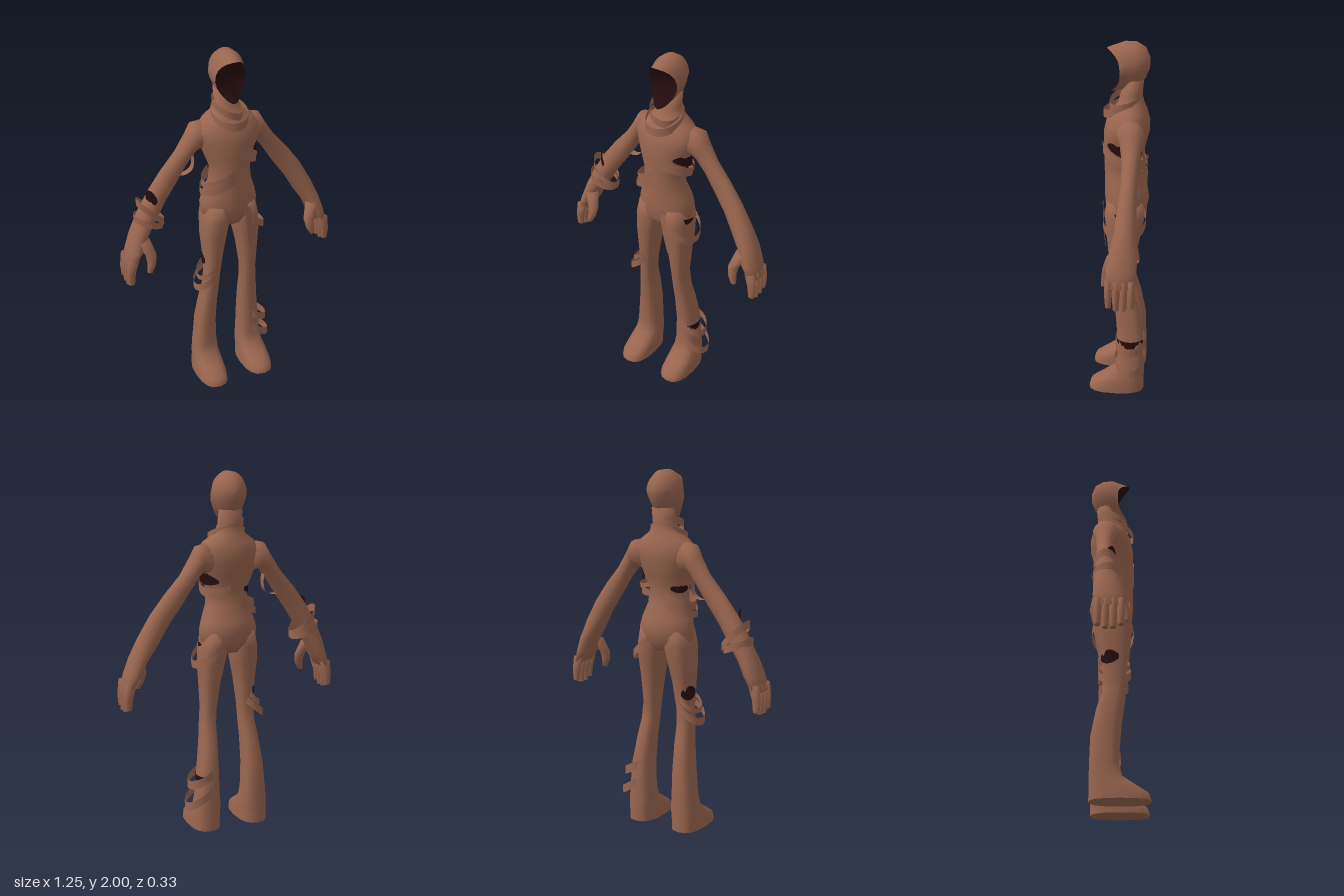
import * as THREE from 'three';

const cloth = new THREE.MeshStandardMaterial({ color: 0x9a664f, side: THREE.DoubleSide });
cloth.name = 'brown cloth';
const dark = new THREE.MeshStandardMaterial({ color: 0x260c0e, side: THREE.DoubleSide });
dark.name = 'dark hollow';

const V = (x, y, z) => new THREE.Vector3(x, y, z);

function buildMesh(name, points, index, material) {
  const g = new THREE.BufferGeometry().setFromPoints(points);
  g.setIndex(index);
  g.computeVertexNormals();
  const m = new THREE.Mesh(g, material);
  m.name = name;
  return m;
}

// Skin through closed rings of points, capped at both ends; side -1 mirrors in x.
function loft(name, rings, side = 1) {
  const n = rings[0].length;
  if (side < 0) rings = rings.map(r => r.map(p => V(-p.x, p.y, p.z)).reverse());
  const pts = rings.flat(), idx = [];
  for (let i = 0; i < rings.length - 1; i++) {
    for (let j = 0; j < n; j++) {
      const a = i * n + j, b = i * n + (j + 1) % n;
      idx.push(a, b, b + n, a, b + n, a + n);
    }
  }
  [0, rings.length - 1].forEach((r, end) => {
    const c = rings[r].reduce((s, p) => s.add(p), V(0, 0, 0)).divideScalar(n);
    const k = pts.push(c) - 1;
    for (let j = 0; j < n; j++) {
      const a = r * n + j, b = r * n + (j + 1) % n;
      idx.push(...(end ? [k, a, b] : [k, b, a]));
    }
  });
  return buildMesh(name, pts, idx, cloth);
}

// Ring about centre c with half axes u and v; power below 1 squares it off.
function ring(c, u, v, n = 16, power = 1) {
  const bend = t => Math.sign(t) * Math.abs(t) ** power;
  return Array.from({ length: n }, (_, j) => {
    const a = (j / n) * Math.PI * 2;
    return c.clone().addScaledVector(u, bend(Math.cos(a))).addScaledVector(v, bend(Math.sin(a)));
  });
}

// Flat strip along a path; width(t) gives the vector to each edge.
function ribbon(name, path, width, material = cloth) {
  const pts = [], idx = [];
  path.forEach((p, i) => {
    const w = width(i / (path.length - 1));
    pts.push(p.clone().add(w), p.clone().sub(w));
    if (i) idx.push(2 * i - 2, 2 * i - 1, 2 * i, 2 * i, 2 * i - 1, 2 * i + 1);
  });
  return buildMesh(name, pts, idx, material);
}

// Tilted wrap round an upright ellipse; tears taper at both ends.
function wrap(name, [x, y, z], rx, rz, sx, sz, w, a0 = 0, a1 = Math.PI * 2, tear = false) {
  const path = Array.from({ length: 25 }, (_, i) => {
    const a = a0 + (a1 - a0) * i / 24, c = Math.cos(a), s = Math.sin(a);
    return V(x + rx * c, y + sx * c + sz * s, z + rz * s);
  });
  const jag = t => tear ? 0.15 + 0.85 * Math.sin(Math.PI * t) ** 0.7 : 1;
  return ribbon(name, path, t => V(0, w / 2 * jag(t), 0), tear ? dark : cloth);
}

// Limb ring from its outer and inner edge points and its depth.
const limbRing = ([ox, oy, ix, iy, z, rz], n = 14) =>
  ring(V((ox + ix) / 2, (oy + iy) / 2, z), V((ox - ix) / 2, (oy - iy) / 2, 0), V(0, 0, rz), n);

function createArm(side) {
  const arm = new THREE.Group();
  arm.name = side > 0 ? 'leftArm' : 'rightArm';
  arm.add(loft('sleeve', [
    [0.12, 1.63, 0.11, 1.46, -0.06, 0.07], [0.195, 1.615, 0.165, 1.47, -0.072, 0.076],
    [0.228, 1.56, 0.185, 1.45, -0.075, 0.06], [0.29, 1.465, 0.235, 1.38, -0.078, 0.047],
    [0.38, 1.365, 0.29, 1.295, -0.075, 0.045], [0.46, 1.26, 0.36, 1.2, -0.07, 0.05],
    [0.53, 1.14, 0.42, 1.1, -0.065, 0.06], [0.575, 1.04, 0.48, 1.015, -0.058, 0.074],
    [0.605, 0.95, 0.51, 0.95, -0.05, 0.082], [0.622, 0.87, 0.56, 0.88, -0.047, 0.078],
  ].map(r => limbRing(r)), side));
  for (let i = 0; i < 4; i++) {
    const z = 0.012 - i * 0.039, tip = i % 3 ? 0.75 : 0.765;
    const end = limbRing([0.622, tip, 0.584, tip, z, 0.015], 8);
    arm.add(loft('finger', [
      limbRing([0.618, 0.91, 0.55, 0.91, z, 0.02], 8),
      limbRing([0.627, 0.83, 0.576, 0.83, z, 0.02], 8), end, end], side));
  }
  arm.add(loft('thumb', [
    [0.56, 1.01, 0.48, 1.015, -0.01, 0.035], [0.52, 0.935, 0.455, 0.925, 0.022, 0.028],
    [0.514, 0.89, 0.465, 0.875, 0.034, 0.022], [0.52, 0.838, 0.49, 0.832, 0.042, 0.014],
  ].map(r => limbRing(r, 8)), side));
  return arm;
}

// Trouser leg and shoe in one skin: [y, inner x, outer x, front z, back z]
function createLeg(side) {
  const rings = [
    [1.14, 0.015, 0.145, 0.065, -0.14], [1.05, 0.012, 0.163, 0.074, -0.145],
    [0.95, 0.03, 0.167, 0.065, -0.125], [0.85, 0.05, 0.16, 0.055, -0.105],
    [0.7, 0.07, 0.153, 0.04, -0.085], [0.6, 0.075, 0.163, 0.03, -0.09],
    [0.5, 0.078, 0.175, 0.015, -0.12], [0.35, 0.08, 0.195, 0.003, -0.148],
    [0.2, 0.075, 0.21, 0.002, -0.152], [0.13, 0.068, 0.218, 0.02, -0.153],
    [0.085, 0.065, 0.225, 0.085, -0.153], [0.04, 0.062, 0.231, 0.155, -0.153],
    [0, 0.06, 0.233, 0.165, -0.153], [0, 0.06, 0.233, 0.165, -0.153],
  ].map(([y, xi, xo, zf, zb]) =>
    ring(V((xi + xo) / 2, y, (zf + zb) / 2), V((xo - xi) / 2, 0, 0), V(0, 0, (zf - zb) / 2), 16, 0.78));
  return loft(side > 0 ? 'leftLeg' : 'rightLeg', rings, side);
}

// Hood: rings from the open rim to the back of the skull, plus a hollow face.
function createHood() {
  const hood = new THREE.Group();
  hood.name = 'hood';
  const n = 24;
  const oval = (cy, hh, hw, z) => Array.from({ length: n }, (_, j) => {
    const a = (j / n) * Math.PI * 2, s = Math.sin(a);
    const x = -hw * Math.cos(a) * (1 - 0.25 * Math.max(0, -s));
    return V(x, cy + hh * s, z(s));
  });
  const rim = oval(1.85, 0.116, 0.086, s => -0.006 + (s > 0 ? 0.071 : 0.056) * Math.abs(s) ** 3);
  const flat = z => () => z;
  const rings = [rim, oval(1.872, 0.128, 0.091, flat(-0.03)), oval(1.876, 0.122, 0.089, flat(-0.09)),
    oval(1.888, 0.082, 0.066, flat(-0.138)), oval(1.89, 0.03, 0.025, flat(-0.16))];
  const shell = loft('hoodShell', rings);
  // the shell stays open at the rim
  const keep = Array.from(shell.geometry.index.array);
  keep.splice((rings.length - 1) * n * 6, n * 3);
  shell.geometry.setIndex(keep);
  shell.geometry.computeVertexNormals();
  const idx = [];
  for (let j = 0; j < n; j++) idx.push(n, (j + 1) % n, j);
  hood.add(shell, buildMesh('hollowFace', [...rim, V(0, 1.86, -0.04)], idx, dark));
  return hood;
}

export function createModel() {
  const model = new THREE.Group();
  model.name = 'raggedFigure';

  // Torso and neck: [y, half width, front z, back z]
  model.add(loft('torso', [
    [1.02, 0.11, 0.045, -0.11], [1.07, 0.157, 0.074, -0.15], [1.14, 0.165, 0.08, -0.165],
    [1.2, 0.15, 0.08, -0.155], [1.28, 0.12, 0.08, -0.125], [1.36, 0.114, 0.08, -0.118],
    [1.43, 0.14, 0.083, -0.14], [1.52, 0.172, 0.083, -0.163], [1.58, 0.182, 0.07, -0.165],
    [1.63, 0.145, 0.045, -0.152], [1.67, 0.088, 0.01, -0.135], [1.72, 0.066, -0.005, -0.123],
    [1.8, 0.066, -0.03, -0.13],
  ].map(([y, hw, zf, zb]) =>
    ring(V(0, y, (zf + zb) / 2), V(0, 0, (zf - zb) / 2), V(hw, 0, 0), 20))));
  model.add(createHood());
  for (const side of [1, -1]) model.add(createArm(side), createLeg(side));

  // Loose cloth wraps
  const PI = Math.PI;
  model.add(
    wrap('neckWrap', [0, 1.657, -0.02], 0.1, 0.105, 0, -0.04, 0.045),
    wrap('neckWrap', [-0.005, 1.695, -0.035], 0.083, 0.088, -0.03, -0.03, 0.04),
    wrap('waistWrap', [-0.045, 1.33, -0.02], 0.115, 0.106, 0.055, 0, 0.045, PI * 0.35, PI * 1.5),
    wrap('waistWrap', [-0.045, 1.29, -0.02], 0.125, 0.107, 0.06, 0, 0.04, PI * 0.4, PI * 1.5),
    wrap('chestWrap', [0.01, 1.39, -0.03], 0.145, 0.118, -0.02, 0.04, 0.04, -1.3, 1.4),
    wrap('chestWrap', [0.01, 1.44, -0.035], 0.15, 0.127, -0.05, 0.04, 0.025, -1.4, 1.3),
    wrap('hipWrap', [0.105, 1.04, -0.035], 0.1, 0.118, -0.08, 0, 0.045),
    wrap('thighWrap', [-0.145, 0.69, -0.02], 0.075, 0.085, 0.06, 0, 0.045),
    wrap('thighWrap', [-0.14, 0.74, -0.02], 0.06, 0.08, 0.05, 0, 0.03),
    wrap('shinWrap', [0.17, 0.32, -0.073], 0.084, 0.083, -0.045, 0, 0.05),
    wrap('shinWrap', [0.18, 0.21, -0.075], 0.093, 0.084, -0.06, 0, 0.05),
    wrap('forearmWrap', [-0.45, 1.15, -0.066], 0.075, 0.066, -0.07, 0, 0.045),
    wrap('forearmWrap', [-0.465, 1.1, -0.062], 0.08, 0.072, -0.03, 0, 0.04),
  );
  const armLoop = new THREE.CatmullRomCurve3([V(-0.31, 1.34, -0.08), V(-0.25, 1.325, -0.08),
    V(-0.2, 1.35, -0.08), V(-0.19, 1.41, -0.08), V(-0.2, 1.47, -0.08)]).getPoints(12);
  model.add(
    ribbon('armLoop', armLoop, () => V(0, 0, 0.02)),
    ribbon('hangingStrip', [V(0.06, 1.13, 0.086), V(0.08, 1, 0.084), V(0.1, 0.87, 0.068)], () => V(0.018, 0.004, 0)),
  );

  // Dark tears in the cloth
  model.add(
    wrap('chestTear', [0, 1.445, -0.03], 0.152, 0.12, 0, 0.03, 0.07, -0.95, 0.8, true),
    wrap('waistTear', [0, 1.37, -0.02], 0.122, 0.105, 0, 0, 0.05, PI, PI + 1, true),
    wrap('hipTear', [0, 1.07, -0.038], 0.169, 0.12, 0, 0, 0.035, -0.2, 1.1, true),
    wrap('thighTear', [-0.108, 0.79, -0.022], 0.055, 0.08, 0, 0, 0.08, PI - 0.3, PI + 1.2, true),
    wrap('shinTear', [0.138, 0.33, -0.073], 0.065, 0.081, -0.03, 0, 0.045, -1.2, 1.2, true),
    wrap('forearmTear', [-0.415, 1.225, -0.07], 0.06, 0.057, -0.03, 0, 0.09, PI * 0.55, PI * 0.95, true),
  );
  return model;
}
